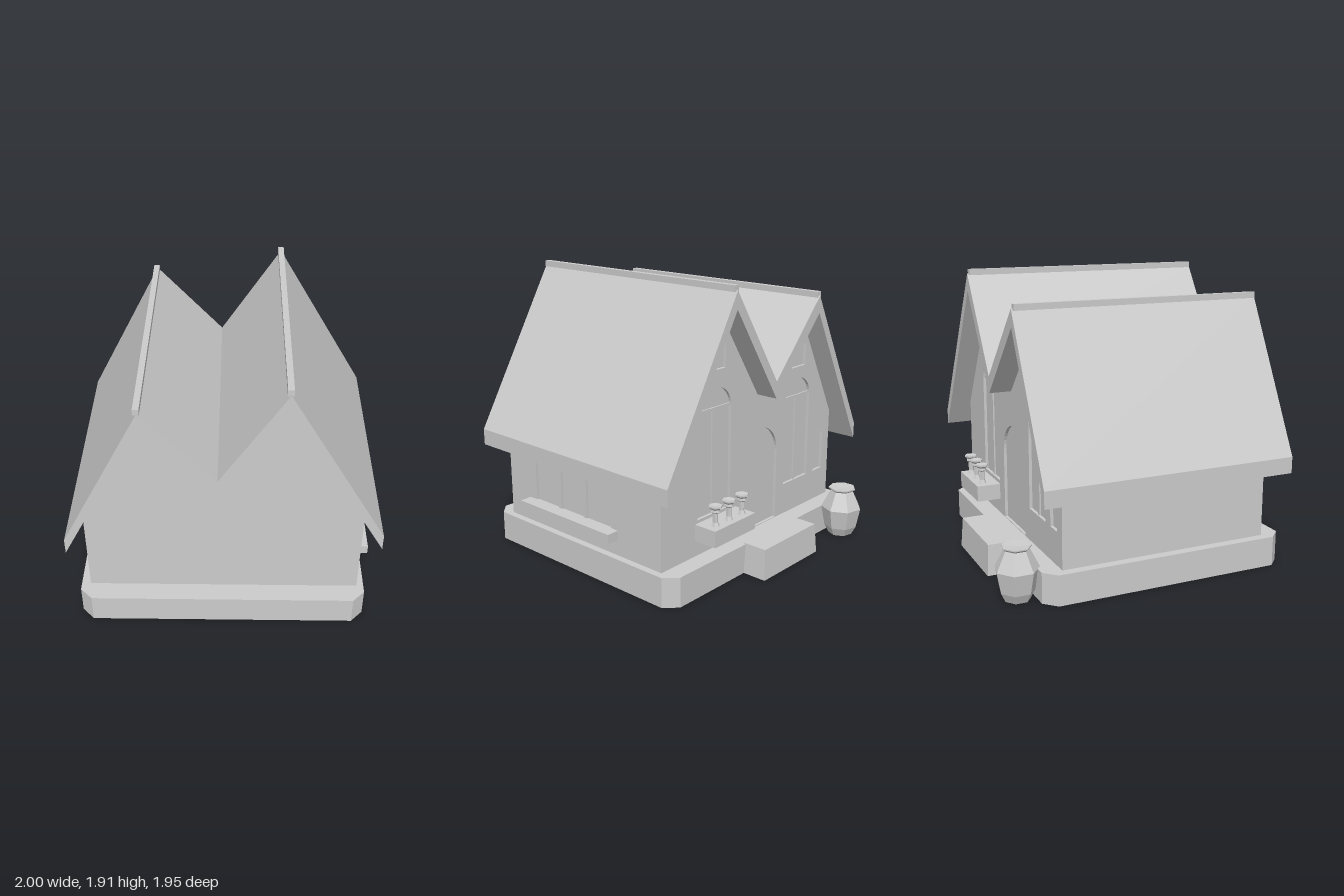
import * as THREE from 'three';

export function createModel() {
  const house = new THREE.Group();
  house.name = 'house';
  const plaster = new THREE.MeshStandardMaterial({ color: 0xcccccc, side: THREE.DoubleSide });
  plaster.name = 'pale grey';

  const add = (name, geometry, x = 0, y = 0, z = 0) => {
    const geo = geometry.index ? geometry.toNonIndexed() : geometry;
    geo.computeVertexNormals();
    const mesh = new THREE.Mesh(geo, plaster);
    mesh.name = name;
    mesh.position.set(x, y, z);
    house.add(mesh);
    return mesh;
  };
  // box given by its limits on each axis
  const box = (name, x0, x1, y0, y1, z0, z1) =>
    add(name, new THREE.BoxGeometry(x1 - x0, y1 - y0, z1 - z0), (x0 + x1) / 2, (y0 + y1) / 2, (z0 + z1) / 2);
  // box without its underside (corners 18 to 21)
  const openBox = (w, h, d) => {
    const geo = new THREE.BoxGeometry(w, h, d);
    geo.setIndex([...geo.index.array].filter((i) => i < 12 || i > 15));
    return geo;
  };
  const shapeOf = (pts) => new THREE.Shape(pts.map(([x, y]) => new THREE.Vector2(x, y)));
  const extrude = (shape, depth) =>
    new THREE.ExtrudeGeometry(shape, { depth, bevelEnabled: false, curveSegments: 10 });
  const rect = (x0, x1, y0, y1) => [[x0, y0], [x1, y0], [x1, y1], [x0, y1]];

  // hollow plinth with cut corners, open below, and its top plate
  const outline = (inset) => {
    const c = 0.08 - inset * 0.6;
    const x0 = -0.958 + inset, x1 = 0.942 - inset, y0 = -0.962 + inset, y1 = 0.73 - inset;
    return shapeOf([
      [x0 + c, y0], [x1 - c, y0], [x1, y0 + c], [x1, y1 - c],
      [x1 - c, y1], [x0 + c, y1], [x0, y1 - c], [x0, y0 + c],
    ]);
  };
  const skirt = outline(0);
  skirt.holes.push(outline(0.004));
  add('plinthSides', extrude(skirt, 0.195).rotateX(-Math.PI / 2));
  add('plinthTop', extrude(outline(0), 0.008).rotateX(-Math.PI / 2), 0, 0.192);

  // body with two gables, and a back skin with recessed openings
  const gables = () => shapeOf([
    [-0.897, 0.195], [0.875, 0.195], [0.875, 0.92], [0.38, 1.775],
    [-0.033, 1.14], [-0.49, 1.635], [-0.897, 0.85],
  ]);
  const recess = 0.02;
  const backZ = -0.604;
  add('walls', extrude(gables(), 0.828 - backZ - recess), 0, 0, backZ + recess);
  const backWall = gables();
  const arched = (x, half, y0, spring, top) => {
    const s = new THREE.Path();
    s.moveTo(x - half, y0);
    s.lineTo(x + half, y0);
    s.lineTo(x + half, spring);
    s.absellipse(x, spring, half, top - spring, 0, Math.PI, false);
    s.lineTo(x - half, y0);
    backWall.holes.push(s);
  };
  const backWindow = (x, half, y0, spring, top) => {
    arched(x, half, y0, spring, top);
    box('windowTransom', x - half, x + half, spring - 0.01, spring + 0.01, backZ + 0.01, backZ + recess);
    box('windowMullion', x - 0.012, x + 0.012, y0, spring, backZ + 0.01, backZ + recess);
  };
  backWindow(0.4, 0.16, 0.44, 1.13, 1.27);
  backWindow(-0.49, 0.14, 0.42, 1.03, 1.16);
  arched(0.38, 0.08, 1.38, 1.53, 1.6);
  arched(-0.49, 0.08, 1.24, 1.39, 1.46);
  arched(-0.06, 0.2, 0.205, 0.7, 0.9);
  backWall.holes.push(shapeOf(rect(-0.82, -0.71, 0.42, 0.7)));
  add('backWall', extrude(backWall, recess), 0, 0, backZ);

  // outer skin of the side wall, with the window opening, bars and sill
  const side = shapeOf(rect(-0.828, -backZ, 0.195, 0.92));
  side.holes.push(shapeOf(rect(-0.59, 0.2, 0.34, 0.7)));
  add('sideWall', extrude(side, 0.02).rotateY(Math.PI / 2), 0.875);
  for (const z of [0.575, 0.32, 0.075, -0.18]) {
    box('sideWindowBar', 0.875, 0.892, 0.34, 0.7, z - 0.015, z + 0.015);
  }
  box('sideWindowHead', 0.875, 0.892, 0.67, 0.7, -0.2, 0.59);
  add('sideWindowSill', openBox(0.1, 0.062, 0.857), 0.93, 0.338, 0.198);

  // folded roof and ridge caps
  const roof = shapeOf([
    [-1, 0.64], [-0.49, 1.63], [-0.033, 1.137], [0.38, 1.77], [1, 0.7],
    [1, 0.81], [0.38, 1.885], [-0.033, 1.25], [-0.49, 1.745], [-1, 0.75],
  ]);
  add('roof', extrude(roof, 1.73), 0, 0, -0.756);
  for (const [x, y] of [[-0.493, 1.752], [0.378, 1.895]]) {
    box('ridgeCap', x - 0.019, x + 0.019, y - 0.02, y + 0.02, -0.746, 0.966);
  }

  // entrance step, slightly narrower at the top
  const stepGeo = openBox(0.59, 0.207, 0.18);
  const p = stepGeo.attributes.position;
  for (let i = 0; i < p.count; i++) {
    if (p.getY(i) > 0) {
      p.setX(i, p.getX(i) * 0.95);
      if (p.getZ(i) < 0) p.setZ(i, p.getZ(i) + 0.012);
    }
  }
  add('step', stepGeo, -0.055, 0.1035, -0.81);

  // flower box with three flowers
  add('flowerBox', openBox(0.4, 0.11, 0.165), 0.4, 0.373, -0.7);
  const flower = [[0.03, 0], [0.018, 0.03], [0.018, 0.09], [0.032, 0.1], [0.028, 0.115], [0.045, 0.13], [0.045, 0.14], [0, 0.135]]
    .map(([r, y]) => new THREE.Vector2(r, y));
  for (const x of [0.27, 0.4, 0.53]) add('flower', new THREE.LatheGeometry(flower, 6), x, 0.425, -0.725);

  // faceted jar, open below
  const jar = [[0.085, 0], [0.115, 0.06], [0.142, 0.2], [0.085, 0.315], [0.08, 0.325], [0.095, 0.338], [0.095, 0.346], [0, 0.34]]
    .map(([r, y]) => new THREE.Vector2(r, y));
  add('jar', new THREE.LatheGeometry(jar, 7), -0.745, 0, -0.84).rotation.y = Math.PI / 2;

  return house;
}
